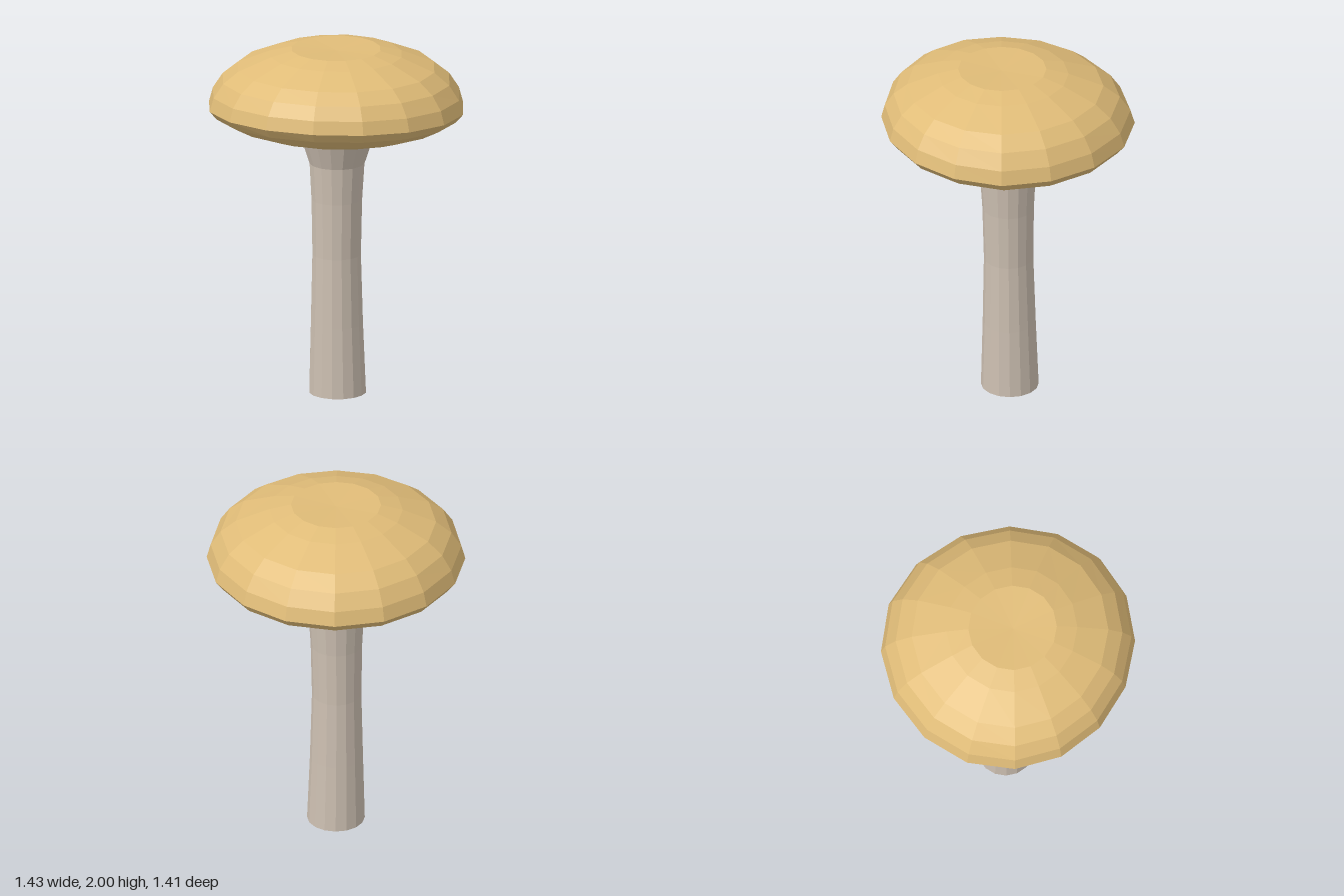
import * as THREE from 'three';

const SIDES = 16;

// Faceted solid of revolution whose vertices are then nudged by a rule
function turned(name, profile, color, warp) {
  const points = profile.map(([r, y]) => new THREE.Vector2(r, y));
  const geometry = new THREE.LatheGeometry(points, SIDES);
  const pos = geometry.attributes.position;
  const v = new THREE.Vector3();
  for (let i = 0; i < pos.count; i++) {
    v.fromBufferAttribute(pos, i);
    warp(v);
    pos.setXYZ(i, v.x, v.y, v.z);
  }
  geometry.computeVertexNormals();
  const material = new THREE.MeshStandardMaterial({ color, flatShading: true });
  const mesh = new THREE.Mesh(geometry, material);
  mesh.name = name;
  return mesh;
}

export function createModel() {
  const group = new THREE.Group();
  group.name = 'mushroom';

  // Stem: closed foot, slim waist, flaring out under the cap
  const stemProfile = [
    [0, 0], [0.16, 0], [0.147, 0.4], [0.137, 0.8], [0.143, 1.12],
    [0.155, 1.33], [0.2, 1.47], [0.31, 1.51],
  ];
  group.add(turned('stem', stemProfile, 0xcdc0b2, (v) => {
    // slight bow backwards and sideways
    const bow = Math.sin(Math.PI * Math.min(1, v.y / 1.47));
    v.x -= 0.004 * bow;
    v.z -= 0.01 * (1 - v.y / 1.2);
    if (v.y > 1.48) v.y += 0.015 * Math.max(0, v.z / 0.31);
  }));

  // Cap: shallow underside, rim, then dome with a faint dimple on top
  const capProfile = [
    [0, 1.515], [0.3, 1.505], [0.44, 1.508], [0.57, 1.55], [0.675, 1.605],
    [0.717, 1.655], [0.695, 1.735], [0.64, 1.82], [0.555, 1.89],
    [0.37, 1.967], [0.25, 1.998], [0, 1.988],
  ];
  group.add(turned('cap', capProfile, 0xe0bc78, (v) => {
    const { y, z } = v;
    // crown leans forward, front edge lifts
    const lean = THREE.MathUtils.clamp((y - 1.5) / 0.155, 0, 1);
    v.z = z * 0.98 + 0.036 * lean * (1 - (z / 0.717) ** 2);
    const fade = THREE.MathUtils.clamp((2 - y) / 0.3, 0, 1);
    v.y += 0.04 * fade * Math.max(0, z / 0.717);
  }));

  return group;
}
